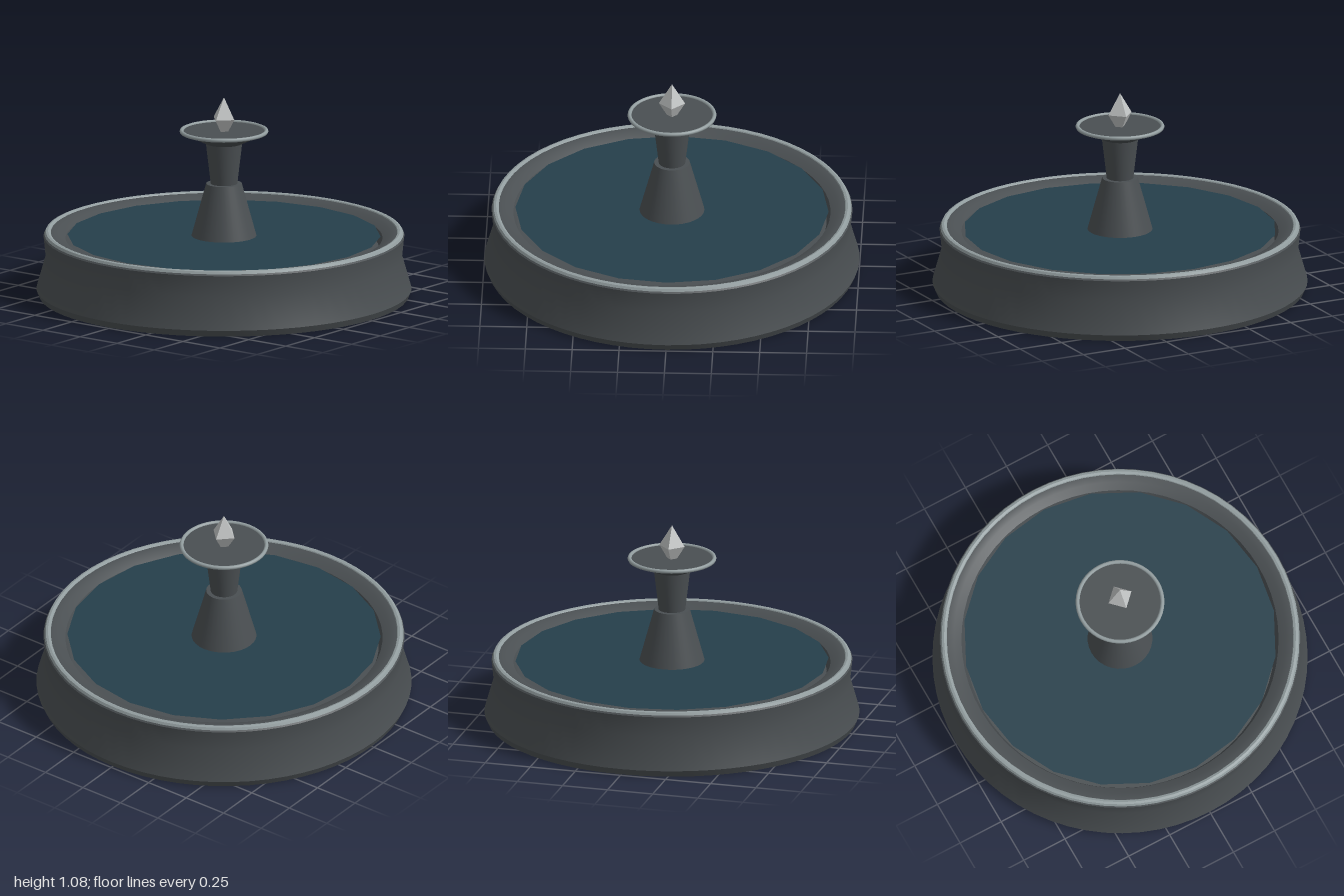
import * as THREE from 'three';
import { toCreasedNormals } from 'three/addons/utils/BufferGeometryUtils.js';

const material = (name, color) => {
  const m = new THREE.MeshStandardMaterial({ color });
  m.name = name;
  return m;
};

export function createModel() {
  const stone = material('dark stone', 0x4a4f52);
  const trim = material('pale trim', 0x929d9f);
  const water = material('deep water', 0x253f4b);
  const crystal = material('pale crystal', 0xc0c3c3);

  const group = new THREE.Group();
  group.name = 'fountain';

  const add = (name, geometry, mat, y = 0) => {
    const mesh = new THREE.Mesh(geometry, mat);
    mesh.name = name;
    mesh.position.y = y;
    group.add(mesh);
    return mesh;
  };

  // Turned part from [radius, height] pairs, with crisp edges at sharp corners
  const turned = (name, profile, mat, sides = 48) => {
    const points = profile.map(([r, y]) => new THREE.Vector2(r, y));
    return add(name, toCreasedNormals(new THREE.LatheGeometry(points, sides), 0.6), mat);
  };

  // Basin: closed underside, waisted wall, sloping inner lip and floor
  turned('basin', [
    [0, 0], [0.985, 0], [1, 0.035], [0.95, 0.21], [0.962, 0.325], [0.945, 0.342],
    [0.92, 0.342], [0.885, 0.333], [0.845, 0.312], [0.825, 0.26], [0, 0.26],
  ], stone, 64);
  turned('basinRim', [
    [0.957, 0.334], [0.95, 0.347], [0.938, 0.351], [0.926, 0.347], [0.92, 0.337],
  ], trim, 64);

  // Water: coarse twenty-sided disc
  const surface = new THREE.CircleGeometry(0.835, 20);
  surface.rotateX(-Math.PI / 2);
  add('water', surface, water, 0.325);

  // Pedestal: wide foot and a stem that flares upward
  turned('pedestalFoot', [[0.18, 0.3], [0.095, 0.61], [0, 0.61]], stone, 32);
  turned('pedestalStem', [[0.07, 0.6], [0.098, 0.835]], stone, 32);

  // Upper dish with its pale edge
  turned('dish', [
    [0, 0.83], [0.098, 0.83], [0.2, 0.88], [0.228, 0.888], [0.225, 0.896], [0, 0.896],
  ], stone);
  const edge = new THREE.TorusGeometry(0.226, 0.011, 8, 48);
  edge.rotateX(Math.PI / 2);
  add('dishRim', edge, trim, 0.895);

  // Crystal finial, partly sunk into the dish
  const finial = new THREE.OctahedronGeometry(1);
  finial.scale(0.07, 0.115, 0.07);
  add('crystalFinial', finial, crystal, 0.965);

  return group;
}
